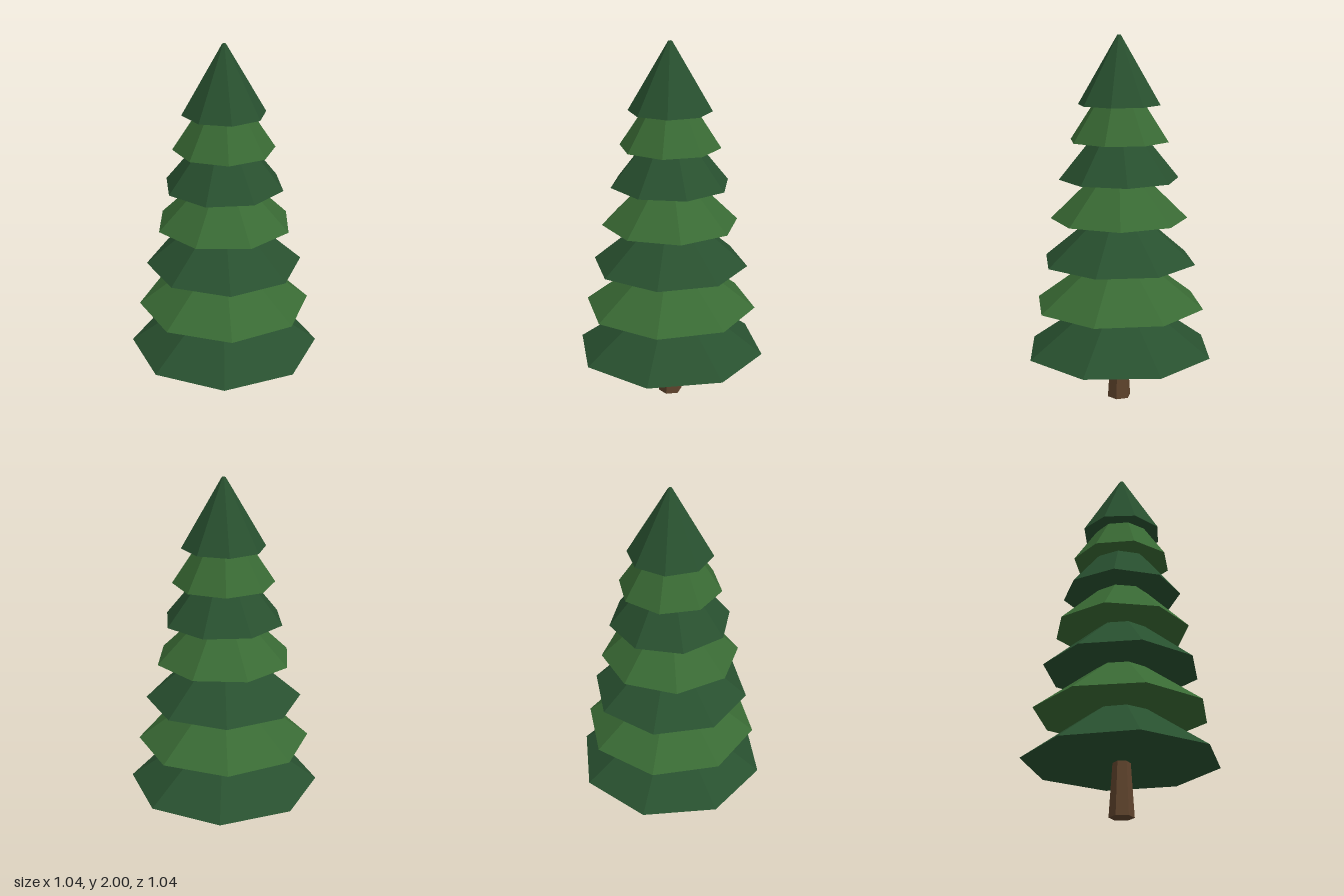
import * as THREE from 'three';

const darkGreen = new THREE.MeshStandardMaterial({ color: 0x28502f, flatShading: true });
const lightGreen = new THREE.MeshStandardMaterial({ color: 0x396a34, flatShading: true });
const bark = new THREE.MeshStandardMaterial({ color: 0x5e432c, flatShading: true });

// Tapered prism standing on height y, turned about the trunk axis
function taper(name, material, sides, bottomRadius, topRadius, y, height, turn = 0) {
  const geometry = new THREE.CylinderGeometry(topRadius, bottomRadius, height, sides);
  geometry.rotateY(THREE.MathUtils.degToRad(turn));
  geometry.translate(0, y + height / 2, 0);
  const mesh = new THREE.Mesh(geometry, material);
  mesh.name = name;
  return mesh;
}

export function createModel() {
  const tree = new THREE.Group();
  tree.name = 'pineTree';

  // Hexagonal trunk, ending just inside the lowest tier
  tree.add(taper('trunk', bark, 6, 0.066, 0.046, 0, 0.3));

  // Branch tiers: base height, base radius, turn in degrees, height of the full cone
  const tiers = [
    [0.284, 0.523, 6.7, 0.375],
    [0.544, 0.472, 11.6, 0.355],
    [0.79, 0.425, 11.1, 0.355],
    [1.024, 0.371, 28.4, 0.363],
    [1.241, 0.325, 35, 0.4],
    [1.446, 0.272, 11.6, 0.41],
    [1.637, 0.223, 16.6, 0.38],
  ];
  tiers.forEach(([y, radius, turn, coneHeight], i) => {
    // Each tier reaches a little way into the next; the last one forms the tip
    const next = tiers[i + 1];
    const height = next ? next[0] + 0.05 - y : 2 - y;
    const topRadius = radius * (1 - height / coneHeight);
    const material = i % 2 ? lightGreen : darkGreen;
    tree.add(taper(`branchTier${i + 1}`, material, 8, radius, topRadius, y, height, turn));
  });
  return tree;
}
